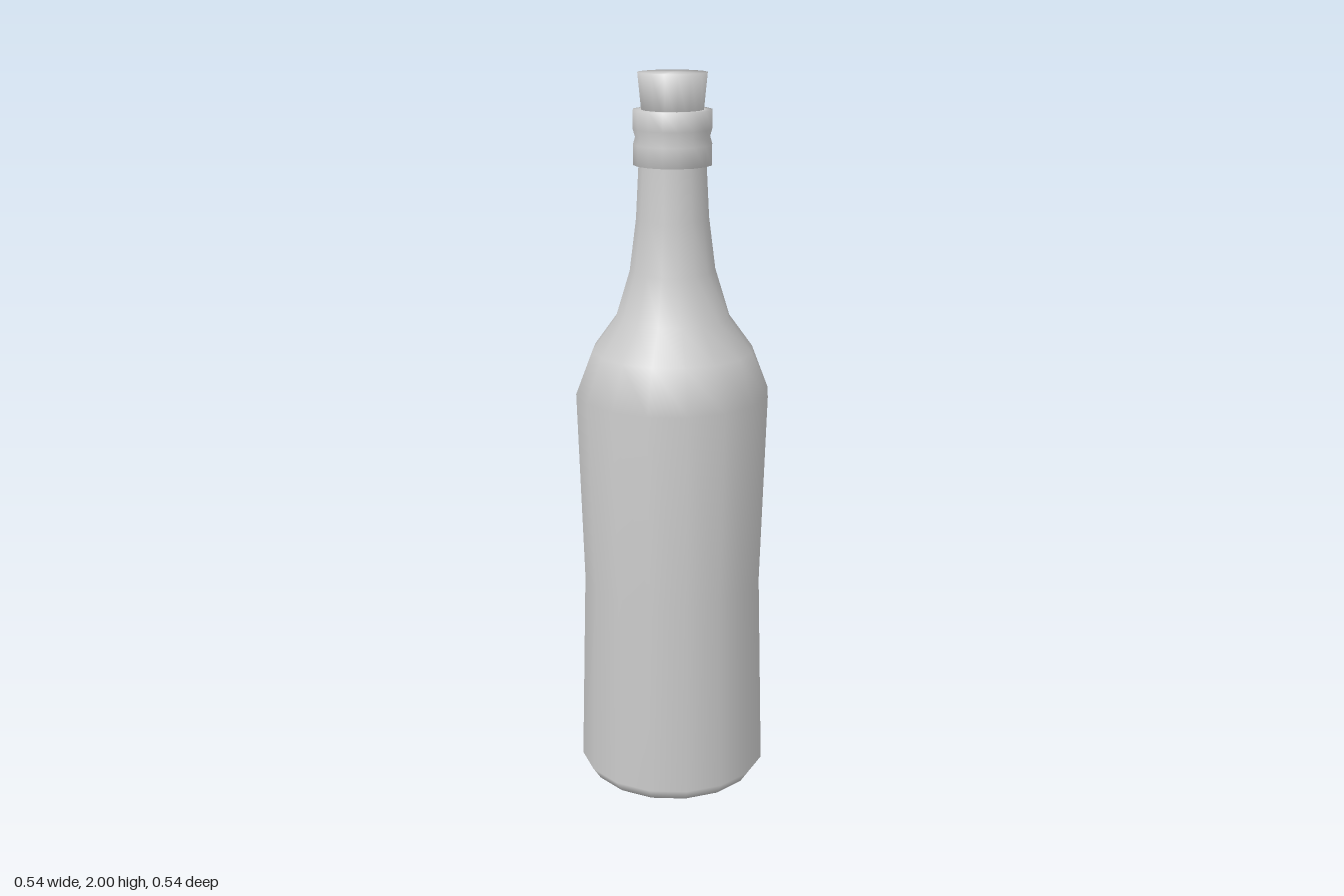
import * as THREE from 'three';

const SIDES = 16;
const material = new THREE.MeshStandardMaterial({ color: 0xcccccc });

// Turned part from [radius, height] pairs, listed so the outer wall runs upwards
function turned(name, profile) {
  const points = profile.map(([r, y]) => new THREE.Vector2(r, y));
  const mesh = new THREE.Mesh(new THREE.LatheGeometry(points, SIDES), material);
  mesh.name = name;
  return mesh;
}

export function createModel() {
  const bottle = new THREE.Group();
  bottle.name = 'corkedBottle';

  // Flat base, slightly waisted body, shoulder and tapering neck
  bottle.add(turned('bottleBody', [
    [0, 0], [0.245, 0], [0.268, 0.035], [0.252, 0.6], [0.268, 1.14],
    [0.222, 1.26], [0.157, 1.35], [0.117, 1.48], [0.099, 1.62], [0.091, 1.77],
  ]));

  // Collar around the mouth: two bands with a shallow groove between
  bottle.add(turned('neckCollar', [
    [0.088, 1.762], [0.106, 1.762], [0.106, 1.815], [0.1, 1.835],
    [0.106, 1.855], [0.106, 1.905], [0.082, 1.905],
  ]));

  // Cork, widening towards its top and reaching into the mouth
  bottle.add(turned('cork', [
    [0, 1.87], [0.08, 1.87], [0.093, 2], [0, 2],
  ]));

  return bottle;
}
